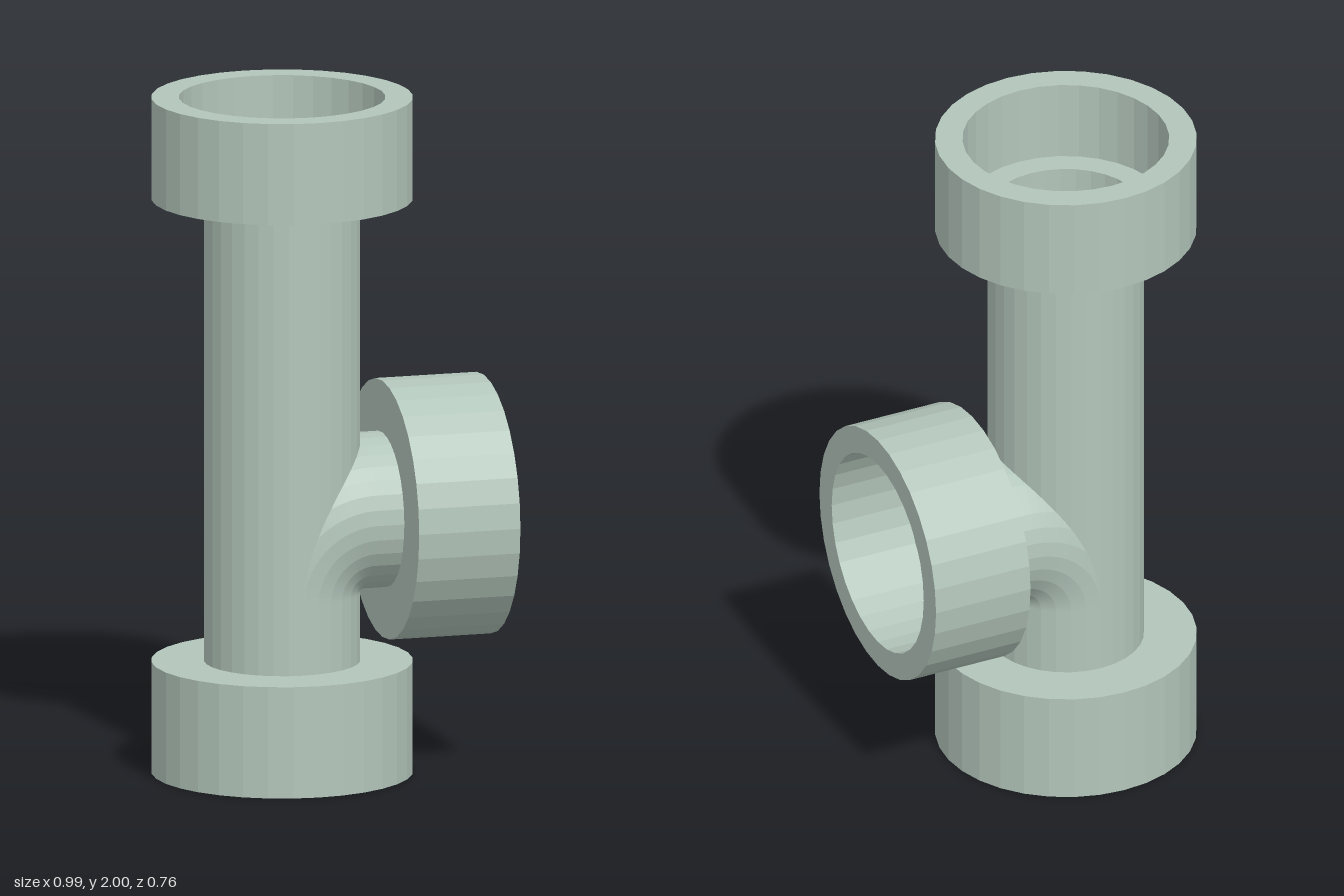
import * as THREE from 'three';

const SIDES = 32;
const PIPE_R = 0.227, HUB_R = 0.38, BORE_R = 0.3, WALL = 0.06;
const AXIS_X = -0.115, BRANCH_Y = 0.76;

export function createModel() {
  const group = new THREE.Group();
  const plastic = new THREE.MeshStandardMaterial({ color: 0xb3c6bb, flatShading: true, side: THREE.DoubleSide });
  plastic.name = 'pale green plastic';

  const add = (name, geometry, x, y, rotZ = 0) => {
    const mesh = new THREE.Mesh(geometry, plastic);
    mesh.name = name;
    mesh.position.set(x, y, 0);
    mesh.rotation.z = rotZ;
    group.add(mesh);
  };

  // Socket: starts at its back plate and opens towards local +y
  const socket = (length) => new THREE.LatheGeometry([
    [PIPE_R, 0], [HUB_R, 0], [HUB_R, length], [BORE_R, length], [BORE_R, WALL], [PIPE_R, WALL],
  ].map(([r, y]) => new THREE.Vector2(r, y)), SIDES);

  // Thin-walled open pipe along local y
  const pipe = (length) => new THREE.CylinderGeometry(PIPE_R, PIPE_R, length, SIDES, 1, true);

  // Straight run with a socket at each end
  const low = 0.33 - WALL, high = 1.7 + WALL;
  add('mainPipe', pipe(high - low), AXIS_X, (low + high) / 2);
  add('topSocket', socket(0.3), AXIS_X, 1.7);
  add('bottomSocket', socket(0.33), AXIS_X, 0.33, Math.PI);

  // Side branch: tight quarter bend, short pipe and socket
  const bendX = AXIS_X + PIPE_R, socketX = 0.188;
  const branchEnd = socketX + WALL;
  add('branchElbow', new THREE.TorusGeometry(PIPE_R, PIPE_R, SIDES, 24, Math.PI / 2),
    bendX, BRANCH_Y - PIPE_R, Math.PI / 2);
  add('branchPipe', pipe(branchEnd - bendX), (bendX + branchEnd) / 2, BRANCH_Y, -Math.PI / 2);
  add('branchSocket', socket(0.306), socketX, BRANCH_Y, -Math.PI / 2);

  return group;
}
